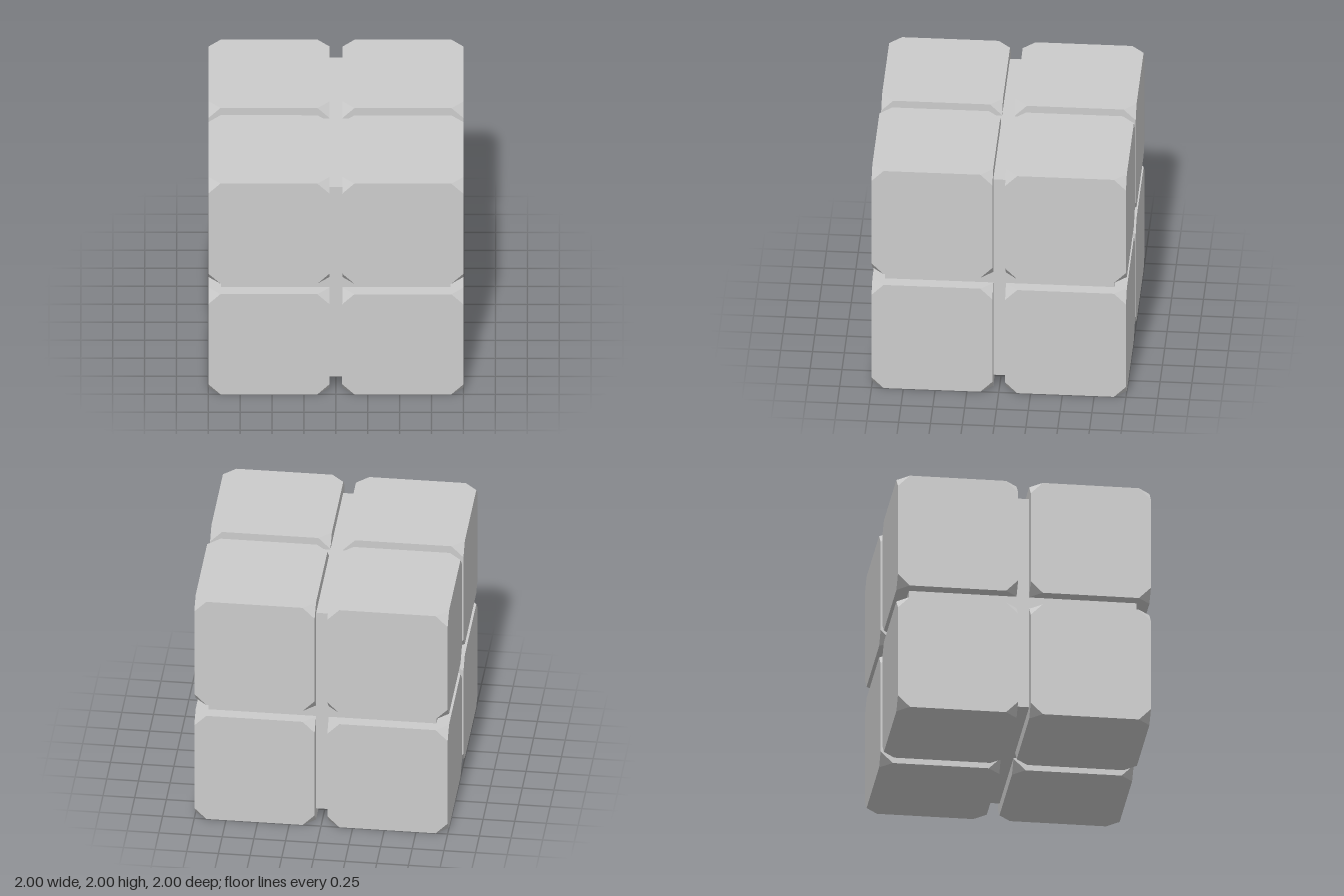
import * as THREE from 'three';
import { ConvexGeometry } from 'three/addons/geometries/ConvexGeometry.js';

const SIZE = 0.95;   // edge of one small cube
const CUT = 0.095;   // length cut off each edge at the corners
const CENTRE = 0.525; // offset of each small cube from the middle
const CORE = 1.8;    // edge of the inner block seen in the grooves
const SIGNS = [-1, 1];

// Cube with all eight corners cut off: three points near every corner
function cutCornerCube(size, cut) {
  const h = size / 2, points = [];
  for (const x of SIGNS) for (const y of SIGNS) for (const z of SIGNS) {
    points.push(
      new THREE.Vector3(x * (h - cut), y * h, z * h),
      new THREE.Vector3(x * h, y * (h - cut), z * h),
      new THREE.Vector3(x * h, y * h, z * (h - cut)));
  }
  return new ConvexGeometry(points);
}

export function createModel() {
  const model = new THREE.Group();
  model.name = 'twoByTwoPuzzleCube';
  const material = new THREE.MeshStandardMaterial({ color: 0xcccccc, flatShading: true });

  // Inner block
  const core = new THREE.Mesh(new THREE.BoxGeometry(CORE, CORE, CORE), material);
  core.name = 'core';
  core.position.y = 1;
  model.add(core);

  // Eight small cubes, one in each corner
  const geometry = cutCornerCube(SIZE, CUT);
  for (const x of SIGNS) for (const y of SIGNS) for (const z of SIGNS) {
    const cube = new THREE.Mesh(geometry, material);
    cube.name = (y > 0 ? 'top' : 'bottom') + (z > 0 ? 'Front' : 'Back') + (x > 0 ? 'Left' : 'Right') + 'Cube';
    cube.position.set(x * CENTRE, 1 + y * CENTRE, z * CENTRE);
    model.add(cube);
  }
  return model;
}
